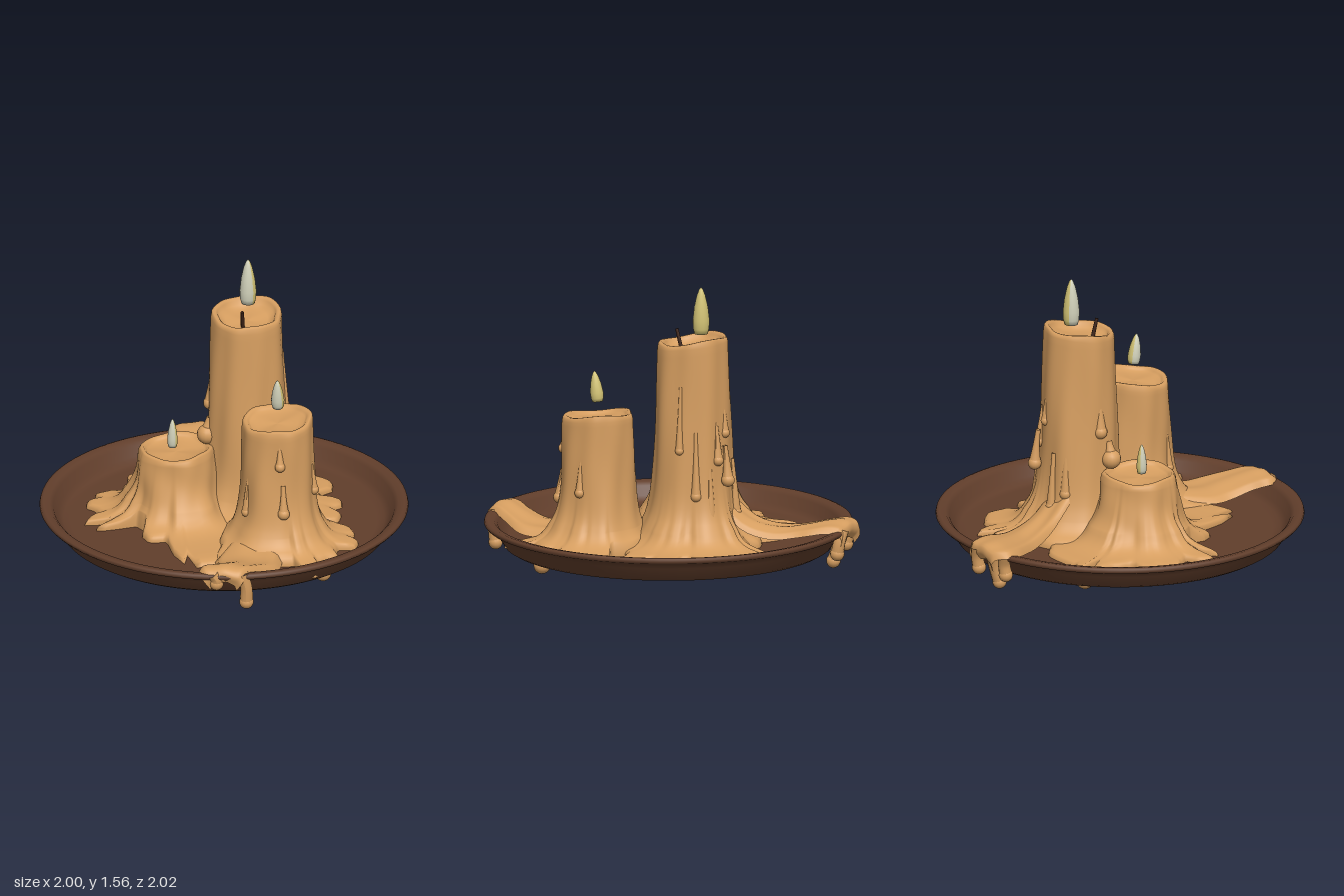
import * as THREE from 'three';

const wax = new THREE.MeshStandardMaterial({ color: 0xd69e60, side: THREE.DoubleSide });
wax.name = 'wax';
const clay = new THREE.MeshStandardMaterial({ color: 0x613e2b });
clay.name = 'brown clay';
const flameYellow = new THREE.MeshStandardMaterial({ color: 0xd2c274 });
flameYellow.name = 'flame yellow';
const flamePale = new THREE.MeshStandardMaterial({ color: 0xcfcfb8 });
flamePale.name = 'flame pale';
const soot = new THREE.MeshStandardMaterial({ color: 0x3c2216 });
soot.name = 'wick brown';

const FLOOR = 0.13, NECK = 0.26, SEG = 144;
const V = (x, y, z) => new THREE.Vector3(x, y, z);

function mesh(name, geometry, material) {
  const m = new THREE.Mesh(geometry, material);
  m.name = name;
  return m;
}

// Smooth skin over rows of points; closed rows wrap round
function skin(rows, closed) {
  const n = rows[0].length, pos = [], index = [];
  rows.forEach(row => row.forEach(p => pos.push(p.x, p.y, p.z)));
  for (let i = 0; i + 1 < rows.length; i++) {
    for (let j = 0; j < (closed ? n : n - 1); j++) {
      const k = (j + 1) % n, a = i * n, b = a + n;
      index.push(a + j, a + k, b + k, a + j, b + k, b + j);
    }
  }
  const g = new THREE.BufferGeometry();
  g.setAttribute('position', new THREE.Float32BufferAttribute(pos, 3));
  g.setIndex(index);
  g.computeVertexNormals();
  return g;
}

// Radius of a puddle outline as a function of the angle round its candle
function outlineRadius(cx, cz, points) {
  const polar = points.map(([x, z]) => [Math.atan2(x - cx, z - cz), Math.hypot(x - cx, z - cz)]);
  polar.sort((a, b) => a[0] - b[0]);
  const n = polar.length;
  const all = [[polar[n - 1][0] - 2 * Math.PI, polar[n - 1][1]], ...polar, [polar[0][0] + 2 * Math.PI, polar[0][1]]];
  return angle => {
    const a = Math.atan2(Math.sin(angle), Math.cos(angle));
    let i = 0;
    while (i < n && all[i + 1][0] < a) i++;
    const t = (a - all[i][0]) / (all[i + 1][0] - all[i][0] || 1);
    return THREE.MathUtils.lerp(all[i][1], all[i + 1][1], t * t * (3 - 2 * t));
  };
}

// Candle: puddle, flared foot, rippled side, rounded rim and melted bowl in one skin
function candle({ name, x, z, r, top, swell, tilt, bowl, outline }) {
  const reach = outlineRadius(x, z, outline);
  const side = (a, y) => {
    const t = (y - NECK) / (top - NECK), foot = Math.exp(-(y - NECK) / 0.09);
    const flow = Math.min(0.35, Math.max(0, reach(a) - r));
    const ripple = Math.sin(5 * a + 2 * t + x * 9) + 0.7 * Math.sin(9 * a - 3 * t) + 0.6 * Math.sin(3 * a + 7 * t);
    return r + swell * (1 - t) + foot * (0.015 + 0.17 * flow) + ripple * 0.006 * (1 - 0.5 * t);
  };
  const rows = [];
  const ring = f => {
    const row = [];
    for (let j = 0; j < SEG; j++) {
      const a = j / SEG * 2 * Math.PI, [d, y] = f(a);
      const dx = d * Math.sin(a), dz = d * Math.cos(a);
      const lift = THREE.MathUtils.smoothstep(y, NECK, top);
      row.push(V(x + dx, y + lift * (tilt[0] * dx + tilt[1] * dz), z + dz));
    }
    rows.push(row);
  };
  for (const s of [1, 0.985, 0.94, 0.85, 0.7, 0.55, 0.4, 0.28, 0.18, 0.1, 0.04]) {
    ring(a => {
      const r0 = side(a, NECK), d = Math.max(0.03, reach(a) - r0) * s;
      const edge = s === 1 ? -0.005 : s > 0.98 ? 0.012 : s > 0.9 ? 0.024 : 0.03;
      return [r0 + d, FLOOR + edge + 0.1 * Math.exp(-d / 0.05) * Math.min(1, (1 - s) * 4)];
    });
  }
  for (let i = 0; i <= 24; i++) {
    const y = THREE.MathUtils.lerp(NECK, top - 0.03, i / 24);
    ring(a => [side(a, y), y]);
  }
  const rim = [[0.985, -0.01], [0.95, 0], [0.88, 0], [0.82, -0.012], [0.77, -bowl * 0.7], [0.6, -bowl * 0.95], [0.3, -bowl], [0, -bowl]];
  for (const [f, dy] of rim) {
    ring(a => [f * side(a, top), top + dy + 0.008 * f * Math.sin(3 * a + x * 5)]);
  }
  return mesh(name, skin(rows, true), wax);
}

// Bead of wax running down a path, thin above and round at the end
function run(name, path, r0, r1) {
  const g = new THREE.Group();
  g.name = name;
  const curve = new THREE.CatmullRomCurve3(path.map(p => V(...p)));
  const tube = new THREE.TubeGeometry(curve, 16, 1, 12);
  const pos = tube.attributes.position, p = V(0, 0, 0);
  for (let i = 0; i < pos.count; i++) {
    const t = Math.floor(i / 13) / 16, c = curve.getPointAt(t);
    p.fromBufferAttribute(pos, i).sub(c).multiplyScalar(r0 + (r1 - r0) * t * t).add(c);
    pos.setXYZ(i, p.x, p.y, p.z);
  }
  tube.computeVertexNormals();
  const bead = mesh('bead', new THREE.SphereGeometry(r1 * 1.08, 16, 12), wax);
  bead.position.set(...path[path.length - 1]);
  g.add(mesh('trickle', tube, wax), bead);
  return g;
}

// Domed tongue of wax: rows of [left x, right x, z, y]
function tongue(name, rows, dir) {
  const left = new THREE.CatmullRomCurve3(rows.map(q => V(q[0], q[3], q[2])));
  const right = new THREE.CatmullRomCurve3(rows.map(q => V(q[1], q[3], q[2])));
  const grid = [];
  for (let i = 0; i <= 28; i++) {
    const t = i / 28, a = left.getPoint(t), b = right.getPoint(t), row = [];
    for (let j = 0; j <= 16; j++) {
      const u = j / 16, p = a.clone().lerp(b, dir > 0 ? 1 - u : u);
      const dome = Math.sqrt(Math.max(0, 1 - Math.abs(2 * u - 1) ** 4));
      p.y += 0.045 * (dome - 1) + 0.005 * Math.sin(u * 12 + t * 3) * dome;
      row.push(p);
    }
    grid.push(row);
  }
  return mesh(name, skin(grid, false), wax);
}

// Flame: teardrop with a pale half and a yellow half
function flame(name, x, y, z, r, h) {
  const g = new THREE.Group();
  g.name = name;
  const pts = [[0, 0], [0.8, 0.01], [0.95, 0.12], [1, 0.3], [0.82, 0.58], [0.5, 0.83], [0.22, 0.96], [0, 1]]
    .map(([a, b]) => new THREE.Vector2(a * r, b * h));
  g.add(mesh('paleHalf', new THREE.LatheGeometry(pts, 8, -Math.PI * 0.75, Math.PI), flamePale));
  g.add(mesh('yellowHalf', new THREE.LatheGeometry(pts, 8, Math.PI * 0.25, Math.PI), flameYellow));
  g.position.set(x, y, z);
  return g;
}

export function createModel() {
  const model = new THREE.Group();
  model.name = 'candlesOnPlate';

  // Plate
  const plate = [[0, 0.088], [0.84, 0.088], [0.865, 0.09], [0.89, 0.105], [0.93, 0.17], [0.95, 0.195], [0.99, 0.21],
    [1, 0.222], [0.996, 0.236], [0.98, 0.241], [0.945, 0.234], [0.925, 0.215], [0.9, 0.165], [0.87, 0.138], [0.83, 0.13], [0, 0.13]];
  model.add(mesh('plate', new THREE.LatheGeometry(plate.map(p => new THREE.Vector2(...p)), 96), clay));

  // Candles with their puddles
  model.add(candle({
    name: 'tallCandle', x: 0.105, z: -0.195, r: 0.19, top: 1.28, swell: 0.035, tilt: [0, -0.13], bowl: 0.05,
    outline: [[-0.2, -0.42], [-0.12, -0.5], [0, -0.55], [0.08, -0.5], [0.15, -0.58], [0.22, -0.62], [0.205, -0.7], [0.26, -0.745],
      [0.32, -0.7], [0.33, -0.6], [0.42, -0.61], [0.53, -0.53], [0.55, -0.42], [0.48, -0.36], [0.52, -0.3], [0.61, -0.3],
      [0.62, -0.22], [0.57, -0.17], [0.63, -0.1], [0.62, -0.02], [0.52, 0.01], [0.46, 0.06], [0.3, 0.15], [0.1, 0.2], [-0.02, 0.15], [-0.2, -0.1]],
  }));
  model.add(candle({
    name: 'shortCandle', x: -0.265, z: -0.035, r: 0.2, top: 0.535, swell: 0.015, tilt: [0.02, 0], bowl: 0.03,
    outline: [[0.03, 0.62], [-0.08, 0.66], [-0.15, 0.62], [-0.18, 0.56], [-0.15, 0.5], [-0.17, 0.42], [-0.2, 0.36], [-0.28, 0.34],
      [-0.37, 0.35], [-0.41, 0.3], [-0.41, 0.2], [-0.46, 0.15], [-0.53, 0.1], [-0.62, 0.16], [-0.68, 0.22], [-0.74, 0.17],
      [-0.73, 0.08], [-0.66, 0.03], [-0.7, -0.02], [-0.76, -0.07], [-0.76, -0.13], [-0.7, -0.17], [-0.73, -0.22], [-0.68, -0.26],
      [-0.6, -0.27], [-0.57, -0.38], [-0.48, -0.41], [-0.47, -0.45], [-0.57, -0.51], [-0.59, -0.58], [-0.53, -0.61], [-0.45, -0.54],
      [-0.35, -0.56], [-0.22, -0.57], [-0.1, -0.5], [0, -0.2], [0.04, 0.1], [0.06, 0.4]],
  }));
  model.add(candle({
    name: 'middleCandle', x: 0.32, z: 0.27, r: 0.19, top: 0.865, swell: 0.015, tilt: [0.06, -0.08], bowl: 0.03,
    outline: [[0.5, 0.02], [0.56, 0.08], [0.63, 0.05], [0.7, 0.08], [0.73, 0.15], [0.7, 0.2], [0.76, 0.25], [0.75, 0.33],
      [0.66, 0.35], [0.65, 0.4], [0.67, 0.47], [0.61, 0.51], [0.56, 0.55], [0.6, 0.65], [0.57, 0.715], [0.5, 0.69],
      [0.45, 0.58], [0.38, 0.6], [0.2, 0.65], [0.03, 0.6], [0.02, 0.4], [0.02, 0.25], [0.08, 0.05], [0.3, -0.02]],
  }));

  // Wax flowing over the rim
  model.add(tongue('frontOverflow', [[0.08, 0.36, 0.44, 0.22], [0.02, 0.38, 0.62, 0.2], [0.02, 0.37, 0.72, 0.21], [0.0, 0.3, 0.83, 0.245],
    [-0.04, 0.25, 0.91, 0.27], [-0.03, 0.22, 0.965, 0.265], [0.0, 0.2, 0.99, 0.235], [0.03, 0.17, 0.975, 0.19]], 1));
  model.add(tongue('backOverflow', [[-0.08, 0.12, -0.36, 0.4], [-0.13, 0.1, -0.5, 0.28], [-0.22, 0.06, -0.65, 0.24], [-0.3, 0.01, -0.76, 0.25],
    [-0.36, -0.01, -0.84, 0.265], [-0.39, -0.05, -0.92, 0.275], [-0.34, -0.08, -0.985, 0.26], [-0.32, -0.09, -0.995, 0.22], [-0.3, -0.1, -0.97, 0.18]], -1));
  for (const [x, z0, z1, y] of [[0.22, 0.95, 0.93, 0.065], [0.06, 0.975, 0.96, 0.18],
    [-0.33, -0.93, -0.91, 0.12], [-0.22, -0.95, -0.885, 0.045], [-0.12, -0.98, -0.955, 0.11]]) {
    model.add(run('rimDrip', [[x - 0.02, 0.24, z0], [x, (y + 0.24) / 2, (z0 + z1) / 2], [x, y, z1]], 0.032, 0.036));
  }

  // Drops hanging under the plate
  for (const [x, y, z, r] of [[0.59, 0.055, 0.48, 0.046], [-0.53, 0.085, -0.53, 0.05]]) {
    const drop = mesh('underDrop', new THREE.SphereGeometry(r, 20, 14), wax);
    drop.position.set(x, y, z);
    model.add(drop);
  }

  // Trickles on the candle sides: centre x, z, angle in degrees, radius, top, bottom, size
  const sides = [
    [0.105, -0.195, -85, 0.2, 0.95, 0.74, 0.035], [0.105, -0.195, -70, 0.225, 0.68, 0.58, 0.05],
    [0.105, -0.195, 175, 0.2, 1.0, 0.78, 0.026], [0.105, -0.195, 155, 0.215, 0.85, 0.64, 0.028],
    [0.105, -0.195, 165, 0.25, 0.72, 0.53, 0.034], [0.105, -0.195, 120, 0.215, 0.8, 0.45, 0.028],
    [0.105, -0.195, 95, 0.21, 1.05, 0.7, 0.022], [0.105, -0.195, -140, 0.22, 0.75, 0.4, 0.03],
    [0.105, -0.195, 140, 0.235, 0.6, 0.3, 0.032], [0.105, -0.195, 200, 0.235, 0.62, 0.32, 0.03],
    [0.32, 0.27, 85, 0.2, 0.65, 0.46, 0.026], [0.32, 0.27, 10, 0.195, 0.78, 0.66, 0.026],
    [0.32, 0.27, 15, 0.215, 0.55, 0.39, 0.03], [0.32, 0.27, -50, 0.205, 0.6, 0.36, 0.024],
    [-0.265, -0.035, 20, 0.2, 0.48, 0.34, 0.026], [-0.265, -0.035, -60, 0.205, 0.46, 0.32, 0.024],
  ];
  for (const [cx, cz, deg, d, y0, y1, r] of sides) {
    const a = deg * Math.PI / 180;
    const at = (k, y) => [cx + Math.sin(a) * k, y, cz + Math.cos(a) * k];
    model.add(run('sideTrickle', [at(d - 0.02, y0), at(d - 0.008, (y0 + y1) / 2), at(d, y1)], r * 0.4, r));
  }

  // Wick and flames
  const wick = mesh('wick', new THREE.CylinderGeometry(0.009, 0.011, 0.1, 8), soot);
  wick.position.set(0.09, 1.275, -0.105);
  wick.rotation.x = 0.25;
  model.add(wick);
  model.add(flame('tallFlame', 0.105, 1.31, -0.245, 0.046, 0.26));
  model.add(flame('shortFlame', -0.284, 0.535, -0.03, 0.028, 0.165));
  const middleFlame = flame('middleFlame', 0.322, 0.93, 0.272, 0.036, 0.17);
  middleFlame.rotation.x = 0.12;
  model.add(middleFlame);
  return model;
}
